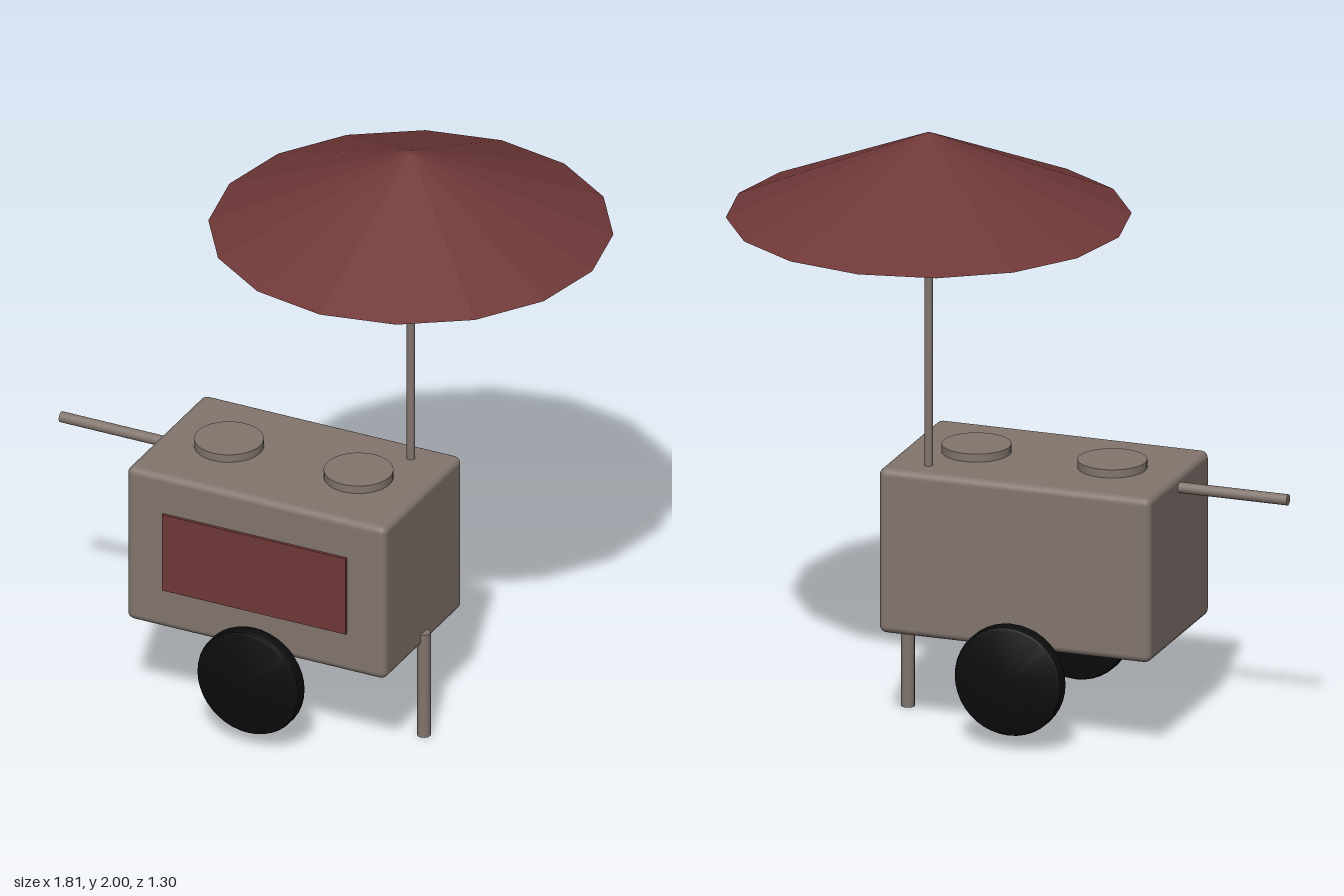
import * as THREE from 'three';
import { RoundedBoxGeometry } from 'three/addons/geometries/RoundedBoxGeometry.js';
import { toCreasedNormals } from 'three/addons/utils/BufferGeometryUtils.js';

export function createModel() {
  const group = new THREE.Group();
  const material = (name, color, flatShading = false) => {
    const m = new THREE.MeshStandardMaterial({ color, flatShading });
    m.name = name;
    return m;
  };
  const grey = material('warm grey', 0x82756e);
  const red = material('dark red', 0x703838, true);
  const black = material('black rubber', 0x0c0c0c);

  const add = (name, geometry, mat, x, y, z) => {
    const mesh = new THREE.Mesh(geometry, mat);
    mesh.name = name;
    mesh.position.set(x, y, z);
    group.add(mesh);
    return mesh;
  };
  const rod = (radius, length, sides = 16) =>
    new THREE.CylinderGeometry(radius, radius, length, sides);

  const midX = -0.07, midZ = 0.186;

  // Cart body with softened edges
  add('cartBody', new RoundedBoxGeometry(0.928, 0.554, 0.556, 3, 0.024), grey, midX, 0.606, midZ);

  // Painted panel on the front
  add('frontPanel', new THREE.BoxGeometry(0.658, 0.276, 0.0095), red, -0.071, 0.61, 0.4695);

  // Two round lids on the counter
  for (const x of [-0.304, 0.16]) {
    add('lid', rod(0.112, 0.04, 32), grey, x, 0.89, midZ);
  }

  // Push handle and front support leg
  add('handle', rod(0.018, 0.395), grey, -0.7075, 0.841, midZ).rotation.z = Math.PI / 2;
  add('supportLeg', rod(0.0225, 0.374, 12), grey, 0.394, 0.187, midZ);

  // Solid wheels with rounded rims
  const r = 0.184, h = 0.027, b = 0.013;
  const profile = [
    [0, -h], [r - b, -h], [r - b * 0.3, -h + b * 0.3], [r, -h + b],
    [r, h - b], [r - b * 0.3, h - b * 0.3], [r - b, h], [0, h],
  ].map(([x, y]) => new THREE.Vector2(x, y));
  const wheelGeometry = toCreasedNormals(new THREE.LatheGeometry(profile, 40), 0.6);
  for (const side of [-1, 1]) {
    add('wheel', wheelGeometry, black, midX, 0.235, midZ + side * 0.309).rotation.x = Math.PI / 2;
  }

  // Umbrella: pole and sixteen-sided canopy with a flat underside
  add('umbrellaPole', rod(0.0135, 0.88), grey, 0.254, 1.3, 0);
  add('umbrellaCanopy', new THREE.CylinderGeometry(0.014, 0.65, 0.275, 16), red, 0.254, 1.8625, 0);

  return group;
}
